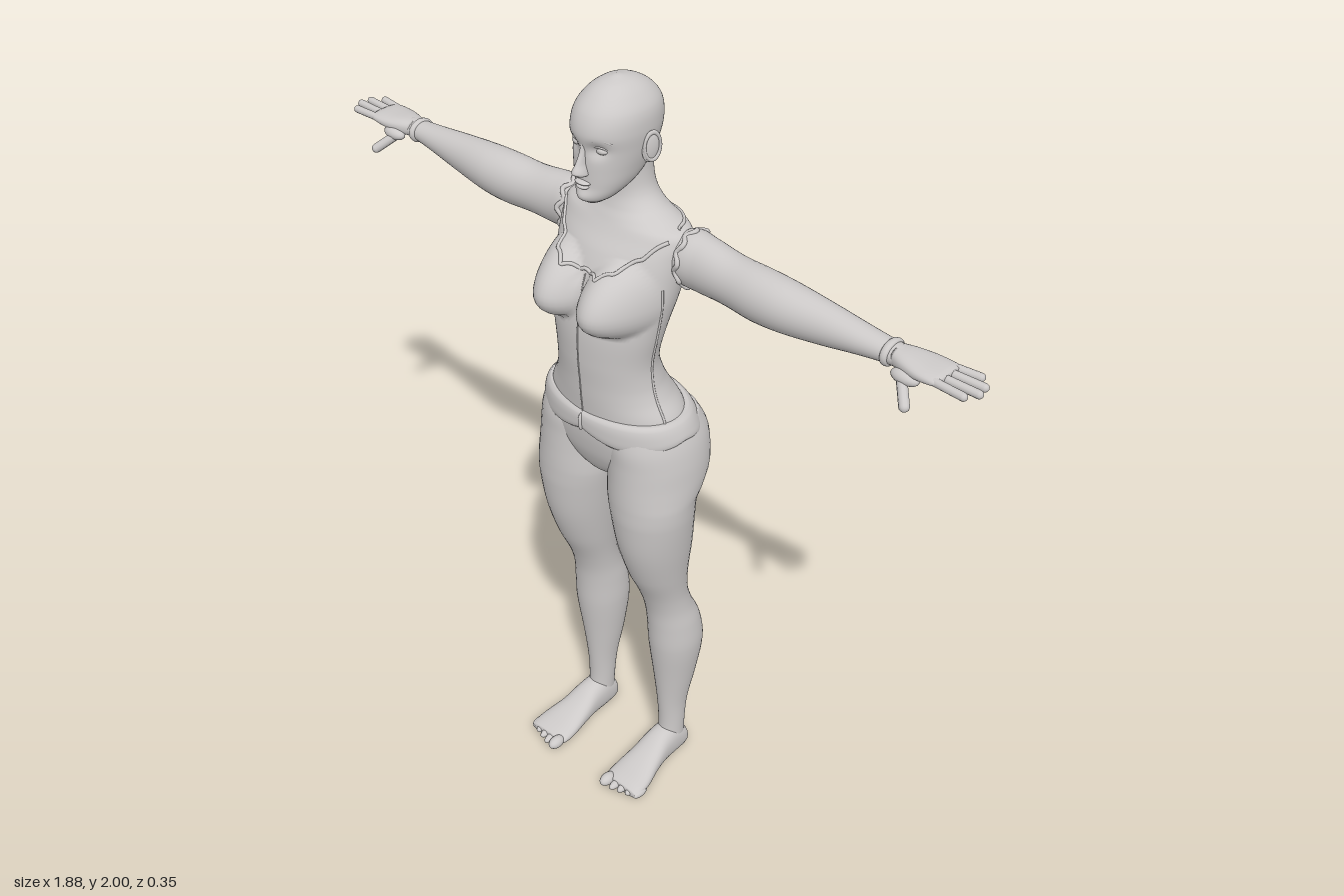
import * as THREE from 'three';

const skin = new THREE.MeshStandardMaterial({ color: 0xccc9c8 });
skin.name = 'light grey';

// Smooth interpolation of a section table [t, aMin, aMax, bMin, bMax] at t
function sectionAt(rows, t) {
  let i = 0;
  while (i < rows.length - 2 && t > rows[i + 1][0]) i++;
  const p = rows[i], q = rows[i + 1], h = q[0] - p[0], u = (t - p[0]) / h;
  const slope = (k, c) => {
    const a = rows[Math.max(k - 1, 0)], b = rows[Math.min(k + 1, rows.length - 1)];
    return (b[c] - a[c]) / (b[0] - a[0]);
  };
  return [1, 2, 3, 4].map(c =>
    (2 * u ** 3 - 3 * u * u + 1) * p[c] + (u ** 3 - 2 * u * u + u) * h * slope(i, c) +
    (3 * u * u - 2 * u ** 3) * q[c] + (u ** 3 - u * u) * h * slope(i + 1, c));
}

// Loft rounded sections along an axis; the section axes follow cyclically (y: z,x  x: y,z  z: x,y)
function loft(rows, axis, { seg = 32, sub = 5, n = 2, warp = null } = {}) {
  const ts = [];
  rows.forEach((r, i) => {
    if (i) for (let k = 1; k <= sub; k++) ts.push(rows[i - 1][0] + (r[0] - rows[i - 1][0]) * k / sub);
    else ts.push(r[0]);
  });
  const pos = [], idx = [];
  const put = (t, a, b) => {
    const v = axis === 'y' ? new THREE.Vector3(b, t, a) : axis === 'x' ? new THREE.Vector3(t, a, b) : new THREE.Vector3(a, b, t);
    if (warp) warp(v);
    pos.push(v.x, v.y, v.z);
  };
  const bend = c => Math.sign(c) * Math.abs(c) ** (2 / n);
  for (const t of ts) {
    const [a0, a1, b0, b1] = sectionAt(rows, t);
    for (let j = 0; j < seg; j++) {
      const w = j / seg * Math.PI * 2;
      put(t, (a0 + a1) / 2 + (a1 - a0) / 2 * bend(Math.cos(w)), (b0 + b1) / 2 + (b1 - b0) / 2 * bend(Math.sin(w)));
    }
  }
  for (let i = 0; i < ts.length - 1; i++) for (let j = 0; j < seg; j++) {
    const a = i * seg + j, b = i * seg + (j + 1) % seg;
    idx.push(a, b, b + seg, a, b + seg, a + seg);
  }
  // End caps
  const last = (ts.length - 1) * seg;
  for (const [t, base, flip] of [[ts[0], 0, true], [ts[ts.length - 1], last, false]]) {
    const [a0, a1, b0, b1] = sectionAt(rows, t), c = pos.length / 3;
    put(t, (a0 + a1) / 2, (b0 + b1) / 2);
    for (let j = 0; j < seg; j++) {
      const p = base + j, q = base + (j + 1) % seg;
      flip ? idx.push(c, q, p) : idx.push(c, p, q);
    }
  }
  const g = new THREE.BufferGeometry();
  g.setAttribute('position', new THREE.Float32BufferAttribute(pos, 3));
  g.setIndex(idx);
  g.computeVertexNormals();
  return g;
}

const ball = (x, y, z, rx, ry, rz) => new THREE.SphereGeometry(1, 20, 14).scale(rx, ry, rz).translate(x, y, z);
const tube = (pts, r, closed = false) =>
  new THREE.TubeGeometry(new THREE.CatmullRomCurve3(pts.map(p => new THREE.Vector3(...p)), closed), pts.length * 3, r, 8, closed);
function capsule(from, to, r) {
  const a = new THREE.Vector3(...from), b = new THREE.Vector3(...to), d = b.clone().sub(a);
  const g = new THREE.CapsuleGeometry(r, d.length(), 5, 12);
  g.applyQuaternion(new THREE.Quaternion().setFromUnitVectors(new THREE.Vector3(0, 1, 0), d.normalize()));
  return g.translate((a.x + b.x) / 2, (a.y + b.y) / 2, (a.z + b.z) / 2);
}
function mirrored(g) {
  const m = g.clone().scale(-1, 1, 1), ix = m.index;
  for (let i = 0; i < ix.count; i += 3) {
    const s = ix.getX(i);
    ix.setX(i, ix.getX(i + 1));
    ix.setX(i + 1, s);
  }
  return m;
}

// Sections: [y, zBack, zFront, xMin, xMax]
const sym = rows => rows.map(([y, zb, zf, w]) => [y, zb, zf, -w, w]);
const torsoRows = sym([
  [1.17, -.135, .107, .19], [1.2, -.13, .11, .18], [1.24, -.11, .114, .155], [1.28, -.092, .117, .14],
  [1.34, -.076, .122, .134], [1.42, -.09, .123, .148], [1.5, -.118, .112, .163], [1.56, -.138, .095, .17],
  [1.61, -.145, .073, .175], [1.645, -.138, .05, .176], [1.665, -.13, .038, .166], [1.68, -.122, .03, .13],
  [1.7, -.114, .02, .092], [1.73, -.105, .012, .066], [1.77, -.1, .013, .056], [1.83, -.1, .02, .055]]);
const headRows = sym([
  [1.735, .03, .085, .02], [1.75, .0, .1, .04], [1.78, -.05, .1, .06], [1.82, -.088, .1, .072],
  [1.86, -.11, .1, .08], [1.9, -.12, .106, .084], [1.94, -.114, .094, .079], [1.97, -.09, .068, .06],
  [1.99, -.055, .036, .035], [2.0, -.015, .0, .006]]);
const pelvisRows = sym([
  [.975, -.03, .03, .02], [1.0, -.075, .065, .08], [1.05, -.115, .09, .18], [1.1, -.135, .102, .205],
  [1.15, -.145, .107, .203], [1.19, -.135, .108, .188]]);
const beltRows = sym([
  [1.14, -.158, .106, .205], [1.148, -.168, .116, .211], [1.165, -.163, .119, .207],
  [1.185, -.15, .117, .197], [1.196, -.135, .108, .186]]);
const legRows = [
  [.04, -.125, -.045, .1, .165], [.12, -.126, -.05, .097, .165], [.2, -.135, -.045, .092, .168],
  [.3, -.156, -.034, .078, .183], [.42, -.17, -.018, .064, .2], [.5, -.157, -.012, .064, .196],
  [.56, -.13, -.004, .066, .187], [.62, -.112, .015, .062, .186], [.7, -.11, .052, .05, .196],
  [.8, -.115, .085, .034, .212], [.9, -.112, .1, .018, .225], [.95, -.118, .102, .009, .228],
  [.98, -.143, .102, .004, .229], [1.02, -.167, .101, .001, .228], [1.07, -.172, .1, .0, .224],
  [1.12, -.167, .1, .003, .214], [1.17, -.14, .09, .02, .195]];
// Sections: [x, yMin, yMax, zMin, zMax]
const armRows = [
  [.13, 1.56, 1.65, -.1, -.015], [.17, 1.54, 1.672, -.12, -.003], [.22, 1.537, 1.67, -.116, -.006],
  [.3, 1.54, 1.66, -.112, -.004], [.38, 1.538, 1.662, -.11, .004], [.45, 1.543, 1.66, -.107, .004],
  [.55, 1.555, 1.65, -.1, -.01], [.65, 1.573, 1.638, -.092, -.022], [.71, 1.582, 1.632, -.088, -.028],
  [.75, 1.586, 1.63, -.088, -.028]];
const handRows = [
  [.73, 1.588, 1.63, -.085, -.03], [.76, 1.588, 1.63, -.096, -.02], [.8, 1.592, 1.627, -.105, -.012],
  [.84, 1.598, 1.624, -.105, -.012], [.855, 1.603, 1.62, -.1, -.017]];
// Sections: [z, xMin, xMax, yMin, yMax]
const footRows = [
  [-.135, .118, .15, .02, .05], [-.122, .103, .163, .006, .075], [-.08, .095, .169, 0, .105],
  [-.03, .092, .173, .002, .1], [.02, .087, .182, .003, .072], [.07, .081, .196, 0, .05],
  [.11, .081, .2, 0, .037], [.128, .088, .195, .006, .028]];

// Chest fullness added to the torso surface
function chest(v) {
  const dy = v.y - 1.5, d = ((Math.abs(v.x) - .083) / .08) ** 2 + (dy / (dy < 0 ? .068 : .11)) ** 2;
  if (v.z > 0 && d < 1) v.z += .077 * (1 - d) ** .85;
}
// Eye sockets pressed into the face
function face(v) {
  if (v.z < .02) return;
  v.z -= .012 * Math.exp(-(((Math.abs(v.x) - .034) / .018) ** 2) - ((v.y - 1.868) / .016) ** 2);
  v.z += .008 * Math.exp(-((v.x / .02) ** 2) - ((v.y - 1.755) / .015) ** 2);
}
// Point on the torso at x, y on the front (side 1) or back (side -1)
function onTorso(x, y, side) {
  const [zb, zf, , w] = sectionAt(torsoRows, y);
  const v = new THREE.Vector3(x, y, (zb + zf) / 2 + side * (zf - zb) / 2 * Math.sqrt(Math.max(0, 1 - (x / w) ** 2)));
  chest(v);
  return [v.x, v.y, v.z];
}

export function createModel() {
  const model = new THREE.Group();
  model.name = 'figure';
  const add = (name, g) => {
    const m = new THREE.Mesh(g, skin);
    m.name = name;
    model.add(m);
  };
  const pair = (name, g) => {
    add(name + 'Left', g);
    add(name + 'Right', mirrored(g));
  };

  // Body
  add('torso', loft(torsoRows, 'y', { seg: 96, sub: 7, warp: chest }));
  add('pelvis', loft(pelvisRows, 'y', { seg: 48, n: 2.2 }));
  add('belt', loft(beltRows, 'y', { seg: 96, n: 2.2, warp: v => {
    const w = Math.atan2(v.x, v.z + .02);
    v.y -= .022 * Math.abs(Math.sin(w * 2)) * Math.max(0, (1.19 - v.y) / .05);
    if (v.z < 0) v.z += .02 * Math.exp(-((v.x / .025) ** 2));
  } }));
  add('beltClasp', ball(0, 1.165, .116, .006, .025, .008));

  // Limbs
  pair('leg', loft(legRows, 'y', { seg: 40 }));
  pair('foot', loft(footRows, 'z', { n: 2.3 }));
  for (let i = 0; i < 5; i++) {
    const x = .098 + i * .0225 + (i ? .004 : 0), r = i ? .0115 : .0165;
    pair('toe', ball(x, r + .004, .132 - i * .007, r, r, .026));
  }
  pair('arm', loft(armRows, 'x', { seg: 36 }));
  pair('wristband', new THREE.TorusGeometry(.028, .006, 10, 32).rotateY(Math.PI / 2).scale(1.5, .88, 1.08).translate(.715, 1.607, -.058));
  pair('hand', loft(handRows, 'x', { n: 2.4 }));
  [[-.093, -.1, .9], [-.071, -.075, .925], [-.047, -.048, .93], [-.024, -.02, .912]].forEach(([z0, z1, x]) =>
    pair('finger', capsule([.84, 1.611, z0], [x, 1.611, z1], .0095)));
  pair('thumb', capsule([.76, 1.596, -.028], [.805, 1.553, .016], .0115));
  pair('thumbBase', ball(.775, 1.592, -.022, .034, .016, .018));

  // Garment edges: scalloped neckline, back edge, armhole frill and seams
  const front = [], back = [], seam = [], sideSeam = [], frill = [];
  for (let i = 0; i <= 60; i++) {
    const x = -.155 + .31 * i / 60;
    front.push(onTorso(x, 1.563 + 3.9 * x * x + .007 * Math.abs(Math.sin(i / 60 * Math.PI * 9)), 1));
    back.push(onTorso(x, 1.668 - .006 * Math.cos(x * 20), -1));
  }
  for (let i = 0; i <= 20; i++) {
    seam.push(onTorso(0, 1.19 + .37 * i / 20, 1));
    const y = 1.19 + .36 * i / 20;
    const [zb, zf, , w] = sectionAt(torsoRows, y);
    const c = (zb + zf) / 2, k = (.018 - c) / ((zf - zb) / 2);
    sideSeam.push([w * Math.sqrt(1 - k * k), y, .018]);
  }
  for (let i = 0; i < 48; i++) {
    const w = i / 48 * Math.PI * 2, r = 1 + .04 * Math.sin(w * 9);
    frill.push([.178 + .006 * Math.sin(w * 9), 1.605 + .066 * r * Math.sin(w), -.061 + .058 * r * Math.cos(w)]);
  }
  add('neckline', tube(front, .0045));
  add('backEdge', tube(back, .004));
  add('frontSeam', tube(seam, .0018));
  pair('sideSeam', tube(sideSeam, .003));
  pair('armholeFrill', tube(frill, .006, true));

  // Head
  add('head', loft(headRows, 'y', { seg: 64, n: 2.15, sub: 7, warp: face }));
  add('nose', loft(sym([
    [1.804, .085, .108, .008], [1.81, .085, .122, .016], [1.818, .085, .13, .015],
    [1.835, .085, .12, .009], [1.86, .085, .107, .007], [1.885, .085, .102, .006]]), 'y', { seg: 20 }));
  add('upperLip', ball(0, 1.789, .1, .021, .005, .012));
  add('lowerLip', ball(0, 1.78, .1, .017, .006, .012));
  pair('eye', ball(.034, 1.866, .076, .016, .009, .011));
  pair('eyelid', tube([[.016, 1.866, .087], [.026, 1.875, .088], [.04, 1.876, .084], [.053, 1.868, .071]], .0025));
  pair('brow', tube([[.014, 1.887, .1], [.03, 1.894, .096], [.046, 1.894, .086], [.06, 1.886, .072]], .003));
  pair('ear', ball(0, 0, 0, .008, .036, .021).rotateX(-.15).rotateY(-.3).translate(.086, 1.858, -.02));
  pair('earRim', new THREE.TorusGeometry(.022, .004, 8, 24).rotateY(Math.PI / 2 - .3).scale(1, 1.45, .85).translate(.09, 1.86, -.021));
  return model;
}
